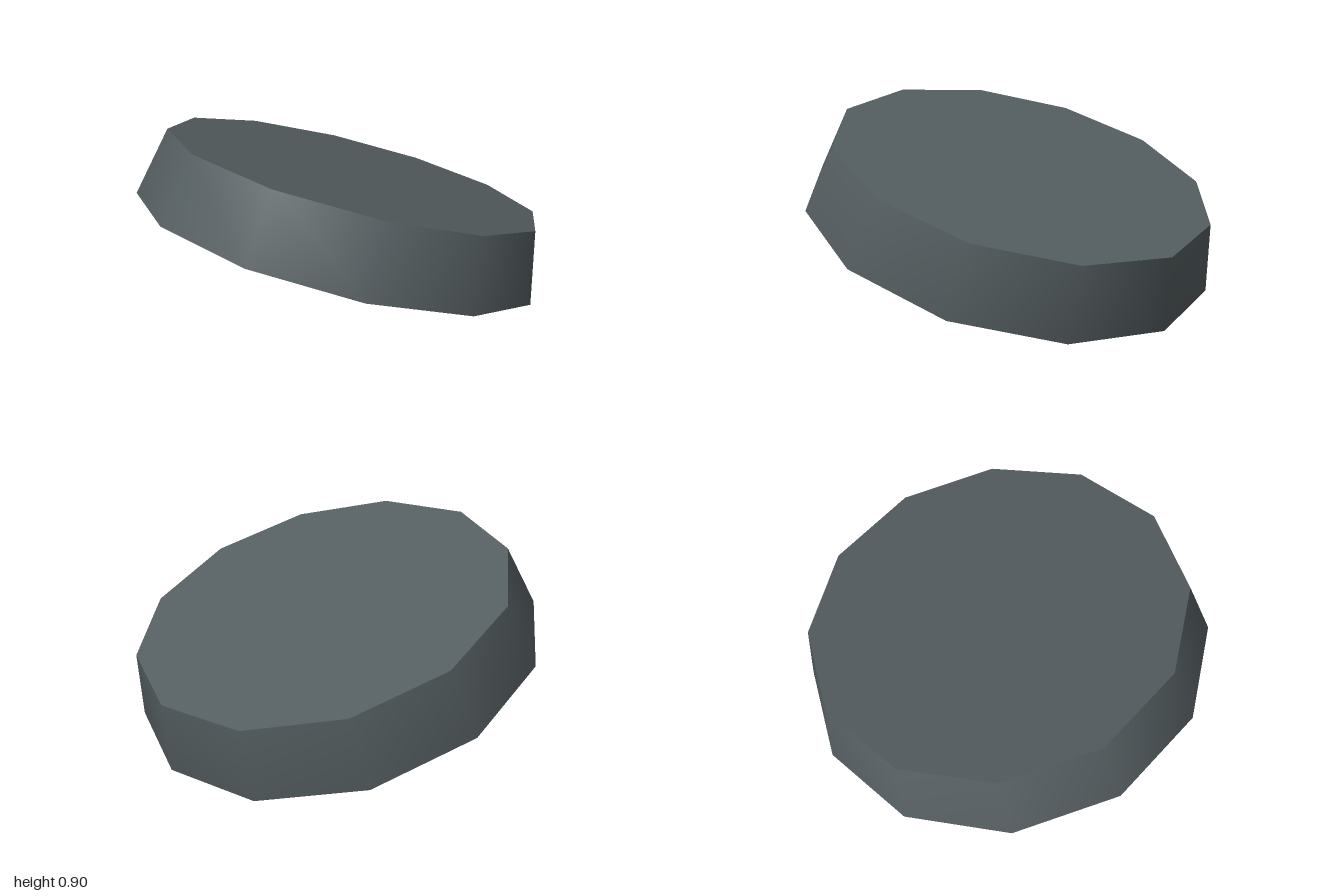
import * as THREE from 'three';

const SIDES = 12;

// Twelve-sided turned surface from [radius, height] pairs
function turned(name, profile, material) {
  const points = profile.map(([r, h]) => new THREE.Vector2(r, h));
  const mesh = new THREE.Mesh(new THREE.LatheGeometry(points, SIDES), material);
  mesh.name = name;
  return mesh;
}

export function createModel() {
  const slate = new THREE.MeshStandardMaterial({ color: 0x555e61 });
  slate.name = 'slate grey';
  const rust = new THREE.MeshStandardMaterial({ color: 0x96502c });
  rust.name = 'rust brown';

  const disc = new THREE.Group();
  disc.name = 'tiltedDisc';

  // Tapered wall with a rolled lower lip and a short inner wall
  disc.add(turned('wall', [[0.945, 0.05], [0.95, -0.005], [0.958, -0.009], [1, 0], [0.924, 0.337]], slate));

  // Flat top, kept separate so its edge stays sharp
  disc.add(turned('topFace', [[0.924, 0.337], [0, 0.337]], slate));

  // Shallow raised plug set into the underside
  disc.add(turned('undersidePlug', [[0, -0.043], [0.705, -0.043], [0.945, 0.05]], rust));

  // The disc leans down towards +x
  disc.rotation.z = -THREE.MathUtils.degToRad(17.6);
  disc.position.set(-0.0155, 0.305, 0);

  const model = new THREE.Group();
  model.name = 'model';
  model.add(disc);
  return model;
}
